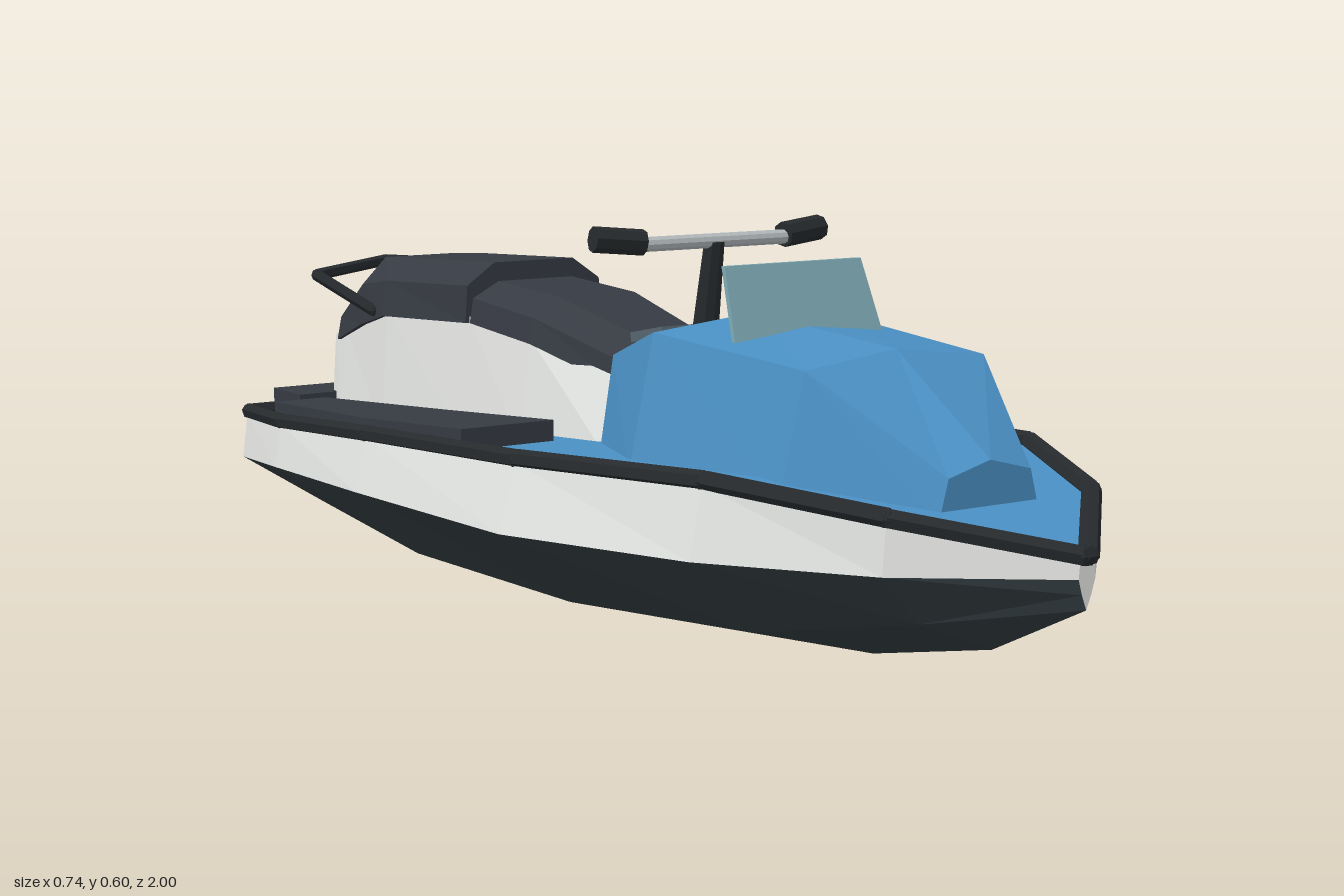
import * as THREE from 'three';

const mat = (name, color) => {
  const m = new THREE.MeshStandardMaterial({ color });
  m.name = name;
  m.flatShading = true;
  return m;
};

export function createModel() {
  const model = new THREE.Group();
  const blue = mat('deck blue', 0x4a90c4);
  const white = mat('hull white', 0xe4e6e3);
  const dark = mat('hull charcoal', 0x323b3f);
  const seat = mat('seat vinyl', 0x363a42);
  const black = mat('rubber black', 0x262a2d);
  const silver = mat('bar silver', 0xb4bbbd);
  const steel = mat('nozzle steel', 0x56656d);
  const glass = mat('windshield tint', 0x7ba5b0);

  const add = (name, geometry, material) => {
    const mesh = new THREE.Mesh(geometry, material);
    mesh.name = name;
    model.add(mesh);
    return mesh;
  };

  // Skin rings of [x, y, z] points, ordered front to back, each running -x over the top to +x
  const loft = (rings, { closed = false, front = false, back = false } = {}) => {
    const pos = [];
    const tri = (a, b, c) => pos.push(...a, ...b, ...c);
    const n = rings[0].length;
    for (let k = 0; k < rings.length - 1; k++) {
      for (let i = 0; i < (closed ? n : n - 1); i++) {
        const j = (i + 1) % n, p = rings[k], q = rings[k + 1];
        tri(p[i], p[j], q[j]);
        tri(p[i], q[j], q[i]);
      }
    }
    const first = rings[0], last = rings[rings.length - 1];
    for (let i = 1; i < n - 1; i++) {
      if (front) tri(first[0], first[i + 1], first[i]);
      if (back) tri(last[0], last[i], last[i + 1]);
    }
    const g = new THREE.BufferGeometry();
    g.setAttribute('position', new THREE.Float32BufferAttribute(pos, 3));
    g.computeVertexNormals();
    return g;
  };
  const solid = rings => loft(rings, { closed: true, front: true, back: true });

  // Symmetric ring from half-profile points listed bottom to top; a point at x = 0 is not doubled
  const ring = (z, half) => [
    ...half.map(([x, y]) => [-x, y, z]),
    ...half.filter(([x]) => x > 0).reverse().map(([x, y]) => [x, y, z]),
  ];

  // Straight rod between two points
  const rod = (name, a, b, r, material, sides = 8, r2 = r) => {
    const p = new THREE.Vector3(...a), q = new THREE.Vector3(...b);
    const mesh = add(name, new THREE.CylinderGeometry(r2, r, p.distanceTo(q), sides), material);
    mesh.position.copy(p).add(q).multiplyScalar(0.5);
    mesh.quaternion.setFromUnitVectors(new THREE.Vector3(0, 1, 0), q.sub(p).normalize());
    return mesh;
  };
  const rodChain = (name, pts, r, material, sides) => {
    for (let i = 0; i < pts.length - 1; i++) rod(name, pts[i], pts[i + 1], r, material, sides);
    for (const p of pts) add(name + 'Joint', new THREE.SphereGeometry(r, 6, 4), material).position.set(...p);
  };

  // Hull stations: z, deck x y, chine x y, bilge x y, keel y
  const stations = [
    [0.99, 0.012, 0.235, 0.014, 0.21, 0.008, 0.19, 0.17],
    [0.82, 0.18, 0.272, 0.185, 0.203, 0.125, 0.135, 0.085],
    [0.58, 0.29, 0.295, 0.31, 0.195, 0.21, 0.088, 0.03],
    [0.2, 0.342, 0.275, 0.37, 0.175, 0.25, 0.062, 0.008],
    [-0.25, 0.34, 0.25, 0.36, 0.165, 0.25, 0.055, 0],
    [-0.63, 0.3, 0.217, 0.312, 0.145, 0.22, 0.075, 0.035],
    [-0.92, 0.225, 0.192, 0.235, 0.115, 0.17, 0.098, 0.08],
  ];
  add('deck', loft(stations.map(([z, x, y]) => [[-x, y, z], [x, y, z]])), blue);
  add('topsideLeft', loft(stations.map(([z, x, y, cx, cy]) => [[x, y, z], [cx, cy, z]])), white);
  add('topsideRight', loft(stations.map(([z, x, y, cx, cy]) => [[-cx, cy, z], [-x, y, z]])), white);
  add('hullBottom', loft(stations.map(([z, , , cx, cy, bx, by, k]) =>
    [[cx, cy, z], [bx, by, z], [0, k, z], [-bx, by, z], [-cx, cy, z]])), dark);

  // Bow stem and transom close the hull ends
  const endRing = ([z, x, y, cx, cy, bx, by, k]) =>
    [[-bx, by, z], [-cx, cy, z], [-x, y, z], [x, y, z], [cx, cy, z], [bx, by, z], [0, k, z]];
  add('bowStem', loft([endRing(stations[0])], { front: true }), white);
  add('transom', loft([endRing(stations[6])], { back: true }), white);

  // Rubber rail around the deck edge
  const side = s => stations.map(([z, x, y]) => [s * Math.max(x - 0.006, 0), y + 0.004, z - 0.004]);
  const rail = [...side(1), ...side(-1).reverse()];
  rodChain('gunwaleRail', [...rail, rail[0]], 0.014, black, 6);

  // Front cowl: z, base x y, shoulder x y, crest y
  add('cowl', solid([
    [0.81, 0.085, 0.26, 0.07, 0.315, 0.333],
    [0.62, 0.195, 0.27, 0.155, 0.438, 0.456],
    [0.3, 0.217, 0.26, 0.175, 0.458, 0.475],
    [0.1, 0.135, 0.25, 0.11, 0.4, 0.42],
  ].map(([z, bx, by, sx, sy, c]) => ring(z, [[bx, by], [sx, sy], [0, c]]))), blue);

  // Windshield: thin raked pane
  add('windshield', solid([0.004, -0.004].map(d => [
    [-0.13, 0.45, 0.43 + d], [-0.12, 0.555, 0.39 + d], [0.12, 0.555, 0.39 + d], [0.13, 0.45, 0.43 + d],
  ])), glass);

  // Instrument plate behind the steering post
  const dash = add('instrumentPlate', new THREE.BoxGeometry(0.135, 0.015, 0.085), steel);
  dash.position.set(0, 0.43, 0.125);
  dash.rotation.x = -0.2;

  // Steering
  rod('steeringPost', [0, 0.43, 0.18], [0, 0.572, 0.203], 0.02, black, 8, 0.015);
  rod('handlebar', [-0.14, 0.572, 0.203], [0.14, 0.572, 0.203], 0.011, silver, 10);
  for (const s of [1, -1]) {
    rod('grip', [s * 0.126, 0.575, 0.203], [s * 0.204, 0.582, 0.19], 0.019, black, 8);
  }

  // Seat pedestal: z, base x y, top x y
  add('seatPedestal', solid([
    [0.1, 0.125, 0.25, 0.09, 0.36],
    [-0.12, 0.14, 0.24, 0.12, 0.405],
    [-0.3, 0.14, 0.23, 0.122, 0.42],
    [-0.58, 0.135, 0.2, 0.12, 0.405],
    [-0.78, 0.11, 0.19, 0.095, 0.35],
    [-0.84, 0.095, 0.18, 0.085, 0.335],
  ].map(([z, bx, by, tx, ty]) => ring(z, [[bx, by], [tx, ty]]))), white);

  // Cushions: z, lower x y, shoulder x y, top half-width and y
  const cushion = rows => solid(rows.map(([z, bx, by, sx, sy, tx, ty]) =>
    ring(z, [[bx, by], [sx, sy], [tx, ty]])));
  add('frontCushion', cushion([
    [0.1, 0.09, 0.345, 0.088, 0.385, 0.055, 0.42],
    [-0.11, 0.125, 0.395, 0.118, 0.435, 0.07, 0.465],
    [-0.295, 0.125, 0.41, 0.118, 0.45, 0.07, 0.475],
  ]), seat);
  add('rearCushion', cushion([
    [-0.3, 0.13, 0.41, 0.126, 0.47, 0.075, 0.505],
    [-0.58, 0.13, 0.395, 0.122, 0.455, 0.072, 0.492],
    [-0.68, 0.12, 0.37, 0.114, 0.44, 0.068, 0.485],
    [-0.805, 0.1, 0.33, 0.092, 0.37, 0.06, 0.4],
  ]), seat);

  // Grab handle behind the seat
  rodChain('grabHandle', [
    [0.125, 0.4, -0.62], [0.175, 0.455, -0.735], [0, 0.467, -0.805], [-0.175, 0.455, -0.735], [-0.125, 0.4, -0.62],
  ], 0.01, black, 6);

  // Foot pads: z, inner x, outer x, top y
  for (const s of [1, -1]) {
    add('footPad', solid([
      [0.02, 0.165, 0.325, 0.297],
      [-0.3, 0.165, 0.317, 0.272],
      [-0.73, 0.165, 0.262, 0.24],
    ].map(([z, a, b, y]) => {
      const [l, r] = s > 0 ? [a, b] : [-b, -a];
      return [[l, y - 0.04, z], [l, y, z], [r, y, z], [r, y - 0.04, z]];
    })), seat);
  }
  add('boardingPad', new THREE.BoxGeometry(0.34, 0.045, 0.105), seat).position.set(0, 0.212, -0.87);

  // Jet nozzle: hollow ring with a dark throat
  const nozzle = add('jetNozzle', new THREE.LatheGeometry(
    [[0.038, -0.05], [0.038, 0.06], [0.05, 0.06], [0.05, -0.05]].map(p => new THREE.Vector2(...p)), 14), steel);
  nozzle.geometry.rotateX(-Math.PI / 2);
  nozzle.material = steel.clone();
  nozzle.material.side = THREE.DoubleSide;
  nozzle.position.set(0, 0.128, -0.94);
  const throat = add('nozzleThroat', new THREE.CircleGeometry(0.039, 14), black);
  throat.rotation.y = Math.PI;
  throat.position.set(0, 0.128, -0.965);

  return model;
}
